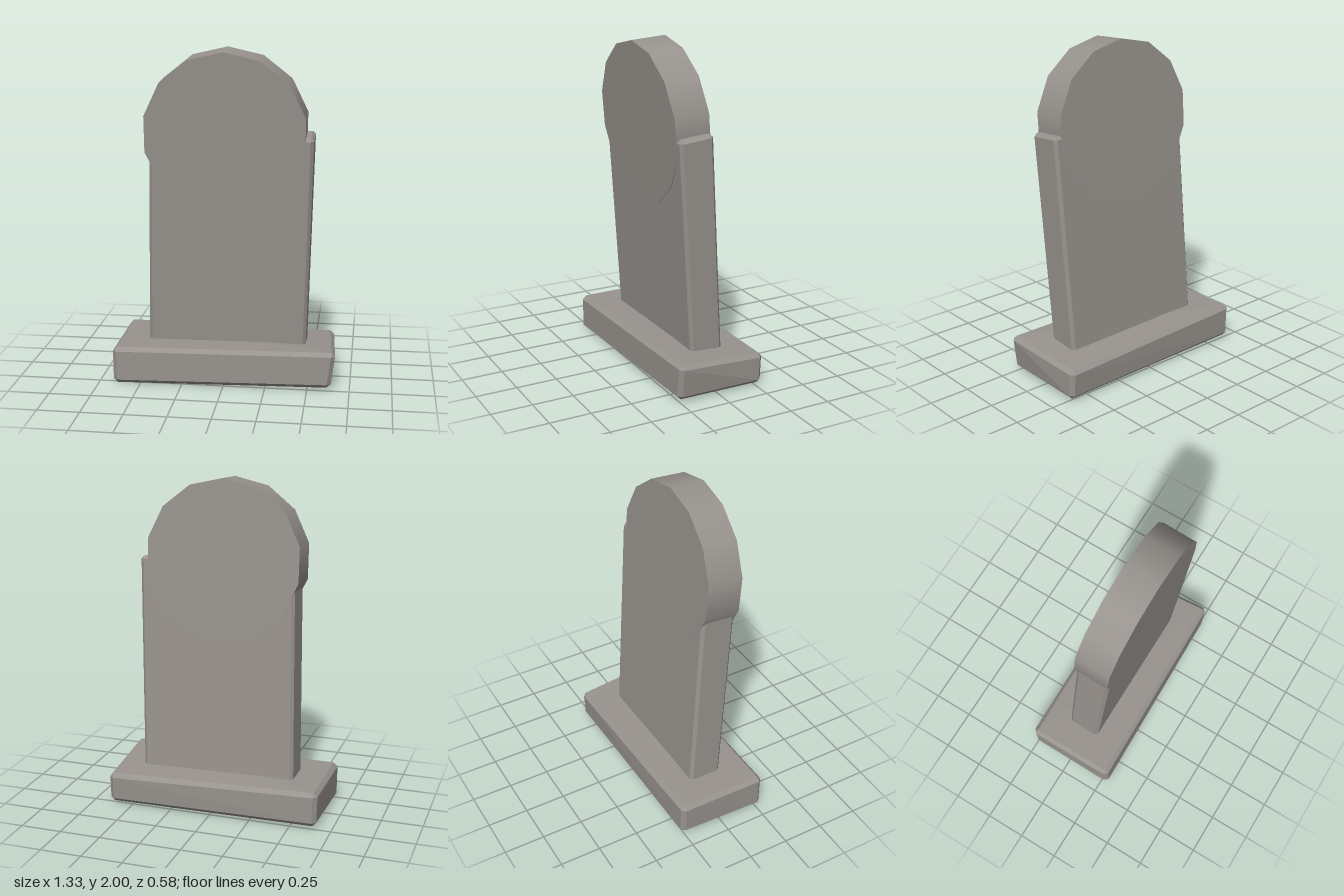
import * as THREE from 'three';
import { ConvexGeometry } from 'three/addons/geometries/ConvexGeometry.js';

// Skewed block with chamfered edges. Corner index bits: 1 = left (+x), 2 = top, 4 = front.
function chamferedBlock(corners, chamfer) {
  const c = corners.map((p) => new THREE.Vector3(...p));
  const points = [];
  c.forEach((p, i) => {
    for (const faceBit of [1, 2, 4]) {
      const q = p.clone();
      for (const bit of [1, 2, 4]) {
        if (bit === faceBit) continue;
        q.addScaledVector(c[i ^ bit].clone().sub(p).normalize(), chamfer);
      }
      points.push(q);
    }
  });
  return new ConvexGeometry(points);
}

export function createModel() {
  const group = new THREE.Group();
  group.name = 'gravestone';
  const stone = new THREE.MeshStandardMaterial({ color: 0x98938e });
  stone.name = 'grey stone';

  const add = (name, geometry) => {
    const mesh = new THREE.Mesh(geometry, stone);
    mesh.name = name;
    group.add(mesh);
    return mesh;
  };

  // Worn, uneven plinth
  add('plinth', chamferedBlock([
    [-0.66, 0.02, -0.27], [0.64, 0.015, -0.285],
    [-0.665, 0.23, -0.27], [0.637, 0.2, -0.295],
    [-0.663, 0.0, 0.29], [0.638, 0.02, 0.267],
    [-0.665, 0.225, 0.29], [0.667, 0.24, 0.267],
  ], 0.024));

  // Upright slab leaning forward, its foot sunk in the plinth
  add('slab', chamferedBlock([
    [-0.478, 0.1, -0.114], [0.476, 0.1, -0.114],
    [-0.44, 1.515, -0.017], [0.516, 1.515, -0.017],
    [-0.478, 0.1, 0.09], [0.476, 0.1, 0.09],
    [-0.44, 1.495, 0.195], [0.516, 1.495, 0.195],
  ], 0.018));

  // Rounded head: a fourteen-sided disc in line with the slab
  const disc = new THREE.CylinderGeometry(0.48, 0.48, 0.216, 14);
  disc.rotateX(-Math.PI / 2);
  const head = add('roundedHead', disc);
  head.rotation.x = 0.072;
  head.position.set(0, 1.513, 0.091);

  return group;
}
